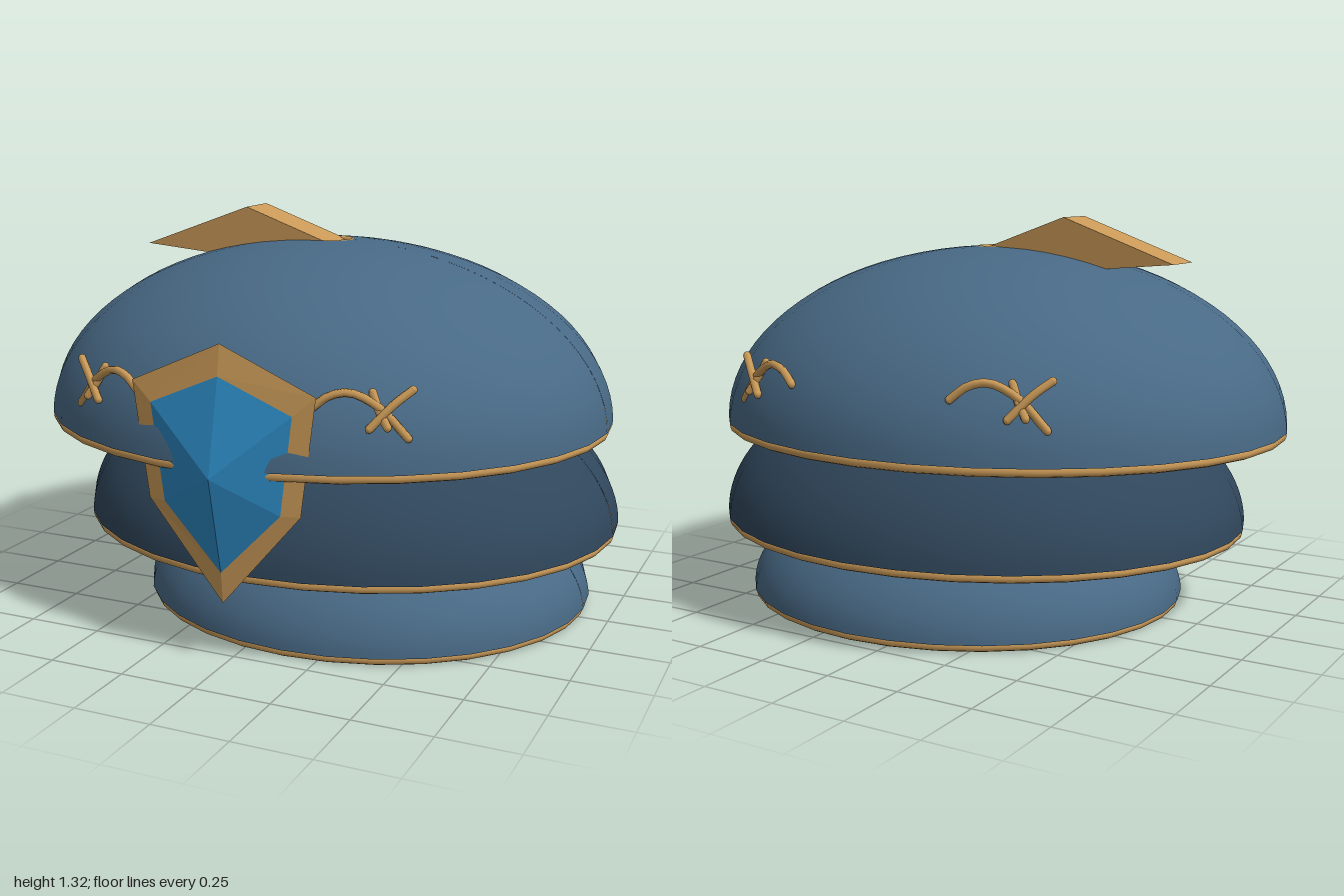
import * as THREE from 'three';

const mat = (name, color, extra = {}) => {
  const m = new THREE.MeshStandardMaterial({ color, ...extra });
  m.name = name;
  return m;
};

export function createModel() {
  const model = new THREE.Group();
  const paleBlue = mat('steel blue', 0x486985, { side: THREE.DoubleSide });
  const darkBlue = mat('dark blue', 0x30475c, { side: THREE.DoubleSide });
  const gold = mat('gold', 0xc99957);
  const goldFlat = mat('gold', 0xc99957, { flatShading: true });
  const gemBlue = mat('gem blue', 0x2d8ac4, { flatShading: true });

  const add = (name, geometry, material, parent = model) => {
    const mesh = new THREE.Mesh(geometry, material);
    mesh.name = name;
    parent.add(mesh);
    return mesh;
  };

  // Three open, stacked, double-walled oval domes; gold rims cap the base and the opening
  const wall = 0.03;
  const tiers = [
    { name: 'lowerDome', x: 0.137, z: -0.014, y: 0.016, rx: 0.776, rz: 0.712, h: 0.405, open: 0.52, m: paleBlue },
    { name: 'middleDome', x: 0.07, z: -0.014, y: 0.281, rx: 0.931, rz: 0.817, h: 0.54, open: 0.5, m: darkBlue },
    { name: 'topDome', x: -0.018, z: -0.02, y: 0.622, rx: 0.983, rz: 0.868, h: 0.598, open: 0.085, m: paleBlue },
  ];
  for (const t of tiers) {
    const tier = new THREE.Group();
    tier.name = t.name;
    tier.position.set(t.x, t.y, t.z);
    tier.scale.set(t.rx, 1, t.rz);
    model.add(tier);
    const shell = (name, r, h) => {
      const end = Math.acos(t.open / r);
      const profile = [];
      for (let i = 0; i <= 20; i++) {
        const a = 0.02 + ((end - 0.02) * i) / 20;
        profile.push(new THREE.Vector2(r * Math.cos(a), h * Math.sin(a)));
      }
      // A hairline seam stays open on the left side
      add(name, new THREE.LatheGeometry(profile, 32, Math.PI / 2 + 0.001, Math.PI * 2 - 0.002), t.m, tier);
    };
    const inset = wall / t.rx;
    shell(t.name + 'OuterWall', 1, t.h);
    shell(t.name + 'InnerWall', 1 - inset, t.h - wall);
    const ring = (name, r, y) =>
      add(name, new THREE.TorusGeometry(r, 0.017, 8, 32).rotateX(Math.PI / 2), gold, tier).position.setY(y);
    ring(t.name + 'BaseRim', 1 - inset / 2 - 0.003, 0.001);
    ring(t.name + 'OpeningRim', t.open, t.h * Math.sin(Math.acos(t.open)) - wall / 2);
  }

  // Bent bar that leaves the top opening and runs down inside the dome
  const bar = new THREE.Shape(
    [[-0.68, 1.178], [-0.36, 1.15], [0.64, 0.79], [0.6, 1.0], [-0.29, 1.32]]
      .map(([x, y]) => new THREE.Vector2(x, y)));
  add('crestBar', new THREE.ExtrudeGeometry(bar, { depth: 0.15, bevelEnabled: false }).translate(0, 0, -0.092), goldFlat);

  // Front jewel, partly sunk into the top dome; outlines run anticlockwise seen from the front
  const outer = [[0, 1.0, 0.806], [-0.305, 0.865, 0.797], [-0.255, 0.5, 0.797],
    [0, 0.2, 0.812], [0.255, 0.5, 0.797], [0.305, 0.865, 0.797]];
  const inner = [[0, 0.905, 0.822], [-0.235, 0.805, 0.811], [-0.195, 0.5, 0.811],
    [0, 0.3, 0.822], [0.195, 0.5, 0.811], [0.235, 0.805, 0.811]];
  const fromTriangles = (tris) => {
    const g = new THREE.BufferGeometry();
    g.setAttribute('position', new THREE.Float32BufferAttribute(tris.flat(2), 3));
    g.computeVertexNormals();
    return g;
  };
  const frameTris = [];
  const gemTris = [];
  const apex = [0, 0.61, 0.889];
  const back = [0, 0.61, 0.797];
  for (let i = 0; i < 6; i++) {
    const j = (i + 1) % 6;
    frameTris.push([outer[i], outer[j], inner[j]], [outer[i], inner[j], inner[i]], [outer[j], outer[i], back]);
    gemTris.push([inner[i], inner[j], apex]);
  }
  add('jewelFrame', fromTriangles(frameTris), goldFlat);
  add('jewel', fromTriangles(gemTris), gemBlue);

  // Thorny vines in slanted planes against the top dome, repeated on four sides;
  // the third number leans a point out of its plane
  const strands = [
    [[0.27, 0.82, 0], [0.32, 0.86, 0], [0.38, 0.872, 0], [0.46, 0.83, 0], [0.54, 0.74, 0]],
    [[0.545, 0.88, -0.02], [0.5, 0.84, 0], [0.44, 0.77, 0.02]],
    [[0.435, 0.87, -0.02], [0.46, 0.82, 0], [0.49, 0.775, 0.02]],
  ];
  for (const side of [1, -1]) {
    for (const mirror of [1, -1]) {
      const vine = new THREE.Group();
      vine.name = (side > 0 ? 'front' : 'back') + (mirror > 0 ? 'Left' : 'Right') + 'Vine';
      model.add(vine);
      const shift = mirror > 0 ? 0 : 0.035;
      const depth = side > 0 ? 0.772 : 0.808;
      strands.forEach((points, i) => {
        const curve = new THREE.CatmullRomCurve3(points.map(([x, y, lean]) =>
          new THREE.Vector3(mirror * (x + shift), y, side * (depth + lean - 0.34 * (x - 0.25)))));
        add(i ? 'thorn' : 'stem', new THREE.TubeGeometry(curve, 12, 0.013, 7), gold, vine);
        for (const t of [0, 1]) {
          add('strandTip', new THREE.SphereGeometry(0.013, 7, 5), gold, vine).position.copy(curve.getPoint(t));
        }
      });
    }
  }
  return model;
}
